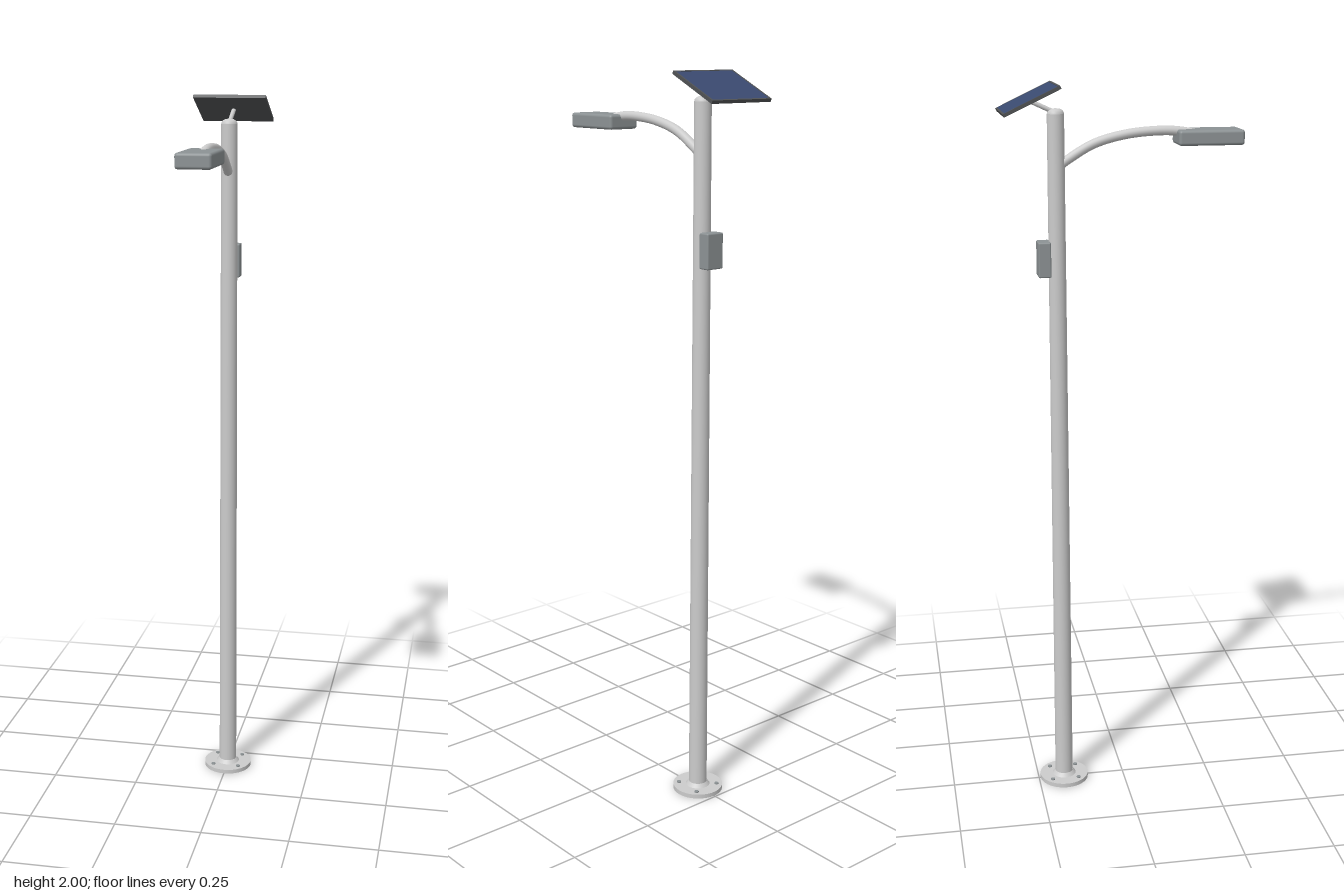
import * as THREE from 'three';
import { RoundedBoxGeometry } from 'three/addons/geometries/RoundedBoxGeometry.js';

const POLE_Z = -0.175;
const mat = (color) => new THREE.MeshStandardMaterial({ color });

export function createModel() {
  const root = new THREE.Group();
  const grey = mat(0xcccccc);
  const housing = mat(0x8c9294);
  const dark = mat(0x505254);
  const blue = mat(0x3a4a70);

  const add = (name, geometry, material, x, y, z, parent = root) => {
    const mesh = new THREE.Mesh(geometry, material);
    mesh.name = name;
    mesh.position.set(x, y, z);
    parent.add(mesh);
    return mesh;
  };

  // Base plate, weld collar and four anchor bolts
  add('basePlate', new THREE.CylinderGeometry(0.07, 0.07, 0.012, 48), grey, 0, 0.006, POLE_Z);
  add('baseCollar', new THREE.CylinderGeometry(0.026, 0.034, 0.01, 32), grey, 0, 0.017, POLE_Z);
  for (const sx of [-1, 1]) {
    for (const sz of [-1, 1]) {
      add('anchorBolt', new THREE.CylinderGeometry(0.006, 0.006, 0.003, 16), housing,
        sx * 0.038, 0.0135, POLE_Z + sz * 0.038);
    }
  }

  // Slightly tapered pole with a rounded cap
  add('pole', new THREE.CylinderGeometry(0.0225, 0.0255, 1.912, 32), grey, 0, 0.968, POLE_Z);
  const cap = [[0.0225, 0], [0.0215, 0.006], [0.018, 0.011], [0.011, 0.0145], [0, 0.016]];
  add('poleCap', new THREE.LatheGeometry(cap.map(([r, y]) => new THREE.Vector2(r, y)), 32),
    grey, 0, 1.922, POLE_Z);

  // Curved lamp arm, sinking into the top of the lamp head
  const armPath = new THREE.CatmullRomCurve3([
    [1.785, -0.175], [1.806, -0.145], [1.846, -0.075], [1.869, 0.01],
    [1.877, 0.1], [1.875, 0.15], [1.867, 0.195],
  ].map(([y, z]) => new THREE.Vector3(0, y, z)));
  add('lampArm', new THREE.TubeGeometry(armPath, 48, 0.0125, 16, false), grey, 0, 0, 0);

  // Lamp head
  add('lampHead', new RoundedBoxGeometry(0.094, 0.04, 0.176, 3, 0.008), housing, 0, 1.86, 0.231);

  // Control box on the back of the pole
  add('controlBox', new RoundedBoxGeometry(0.054, 0.094, 0.034, 2, 0.004), housing, 0, 1.548, -0.211);

  // Tilted solar panel, facing up and backwards
  const panel = new THREE.Group();
  panel.name = 'solarPanel';
  panel.position.set(0, 1.962, -0.246);
  panel.rotation.x = -0.44;
  root.add(panel);
  const w = 0.2, d = 0.161, rim = 0.005;
  add('panelBack', new THREE.BoxGeometry(w, 0.005, d), dark, 0, -0.0015, 0, panel);
  for (const s of [-1, 1]) {
    add('frameSide', new THREE.BoxGeometry(rim, 0.009, d), dark, s * (w - rim) / 2, 0.0005, 0, panel);
    add('frameEnd', new THREE.BoxGeometry(w - 2 * rim, 0.009, rim), dark, 0, 0.0005, s * (d - rim) / 2, panel);
  }
  add('solarCells', new THREE.BoxGeometry(w - 2 * rim, 0.004, d - 2 * rim), blue, 0, 0.0025, 0, panel);

  // Bracket from the pole top to the back of the panel
  const bracketPath = new THREE.LineCurve3(
    new THREE.Vector3(0, 1.928, -0.178), new THREE.Vector3(0, 1.959, -0.246));
  add('panelBracket', new THREE.TubeGeometry(bracketPath, 1, 0.006, 12, false), grey, 0, 0, 0);

  return root;
}
